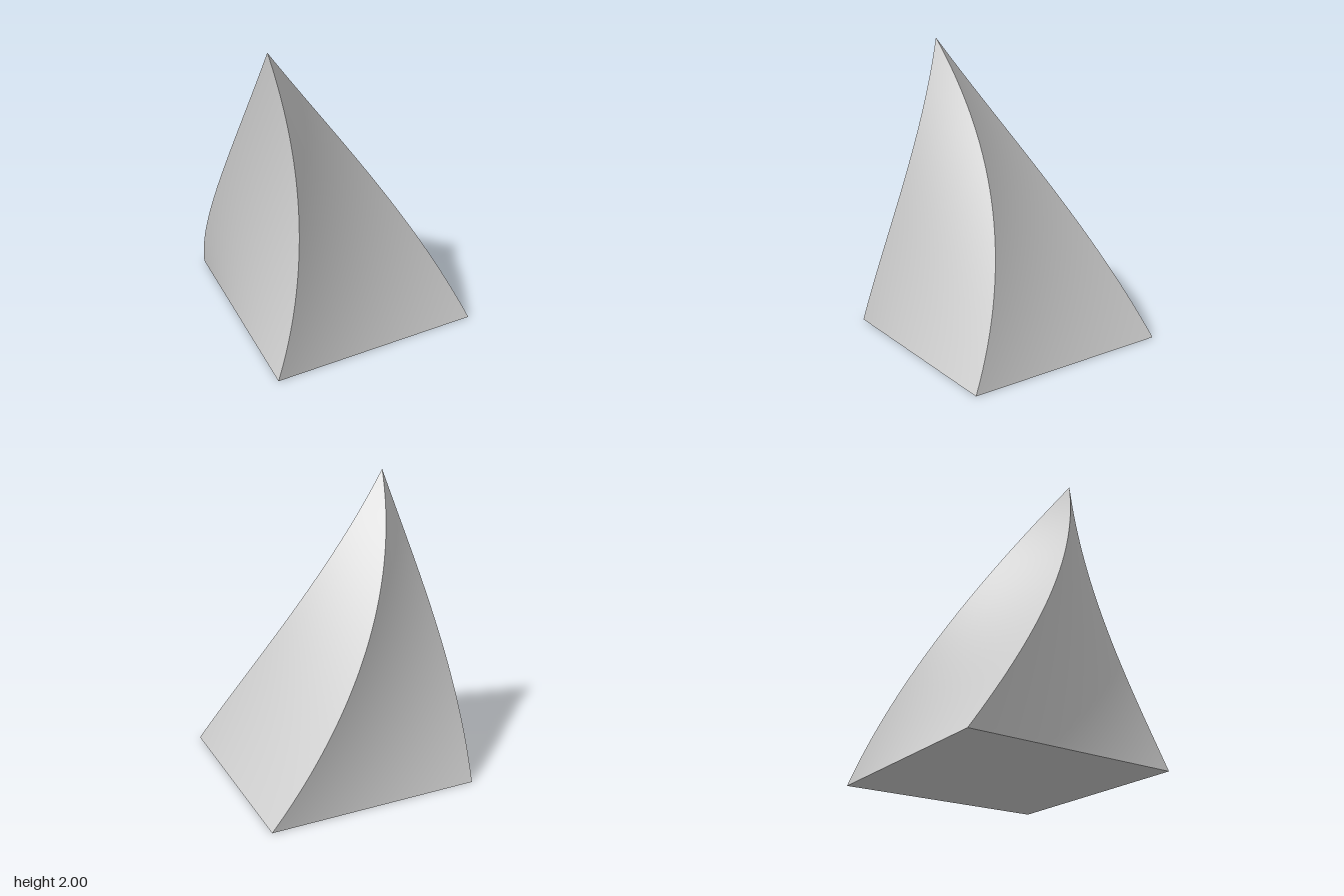
import * as THREE from 'three';

const UP = new THREE.Vector3(0, 1, 0);
const TWIST = Math.PI / 4;
const AXIS = new THREE.Vector3(0.03, 0, 0.65); // vertical twist axis
const APEX = new THREE.Vector3(-0.485, 2, 0.207);
const X0 = -0.7, X1 = 0.75, Z = 0.73;

// base corners, counter-clockwise seen from above
const corners = [[X0, Z], [X1, Z], [X1, -Z], [X0, -Z]]
  .map(([x, z]) => new THREE.Vector3(x, 0, z));

// apex position before twisting
const rawApex = APEX.clone().sub(AXIS).applyAxisAngle(UP, -TWIST).add(AXIS);

// point on a straight slanted pyramid, then twisted in proportion to height
function twistedPoint(a, b, u, t) {
  return a.clone().lerp(b, u).lerp(rawApex, t)
    .sub(AXIS).applyAxisAngle(UP, TWIST * t).add(AXIS);
}

// one twisted triangular side above the base edge a-b
function sideGeometry(a, b) {
  const geo = new THREE.PlaneGeometry(1, 1, 20, 60);
  const pos = geo.attributes.position;
  for (let i = 0; i < pos.count; i++) {
    const t = Math.min(pos.getY(i) + 0.5, 0.9999);
    const p = twistedPoint(a, b, pos.getX(i) + 0.5, t);
    pos.setXYZ(i, p.x, p.y, p.z);
  }
  geo.computeVertexNormals();
  return geo;
}

export function createModel() {
  const group = new THREE.Group();
  group.name = 'twistedPyramid';
  const material = new THREE.MeshStandardMaterial({ color: 0xcccccc });

  // four twisted sides
  ['frontSide', 'leftSide', 'backSide', 'rightSide'].forEach((name, i) => {
    const side = new THREE.Mesh(sideGeometry(corners[i], corners[(i + 1) % 4]), material);
    side.name = name;
    group.add(side);
  });

  // flat base, facing down
  const base = new THREE.Mesh(new THREE.PlaneGeometry(X1 - X0, 2 * Z).rotateX(Math.PI / 2), material);
  base.position.x = (X0 + X1) / 2;
  base.name = 'base';
  group.add(base);

  return group;
}
